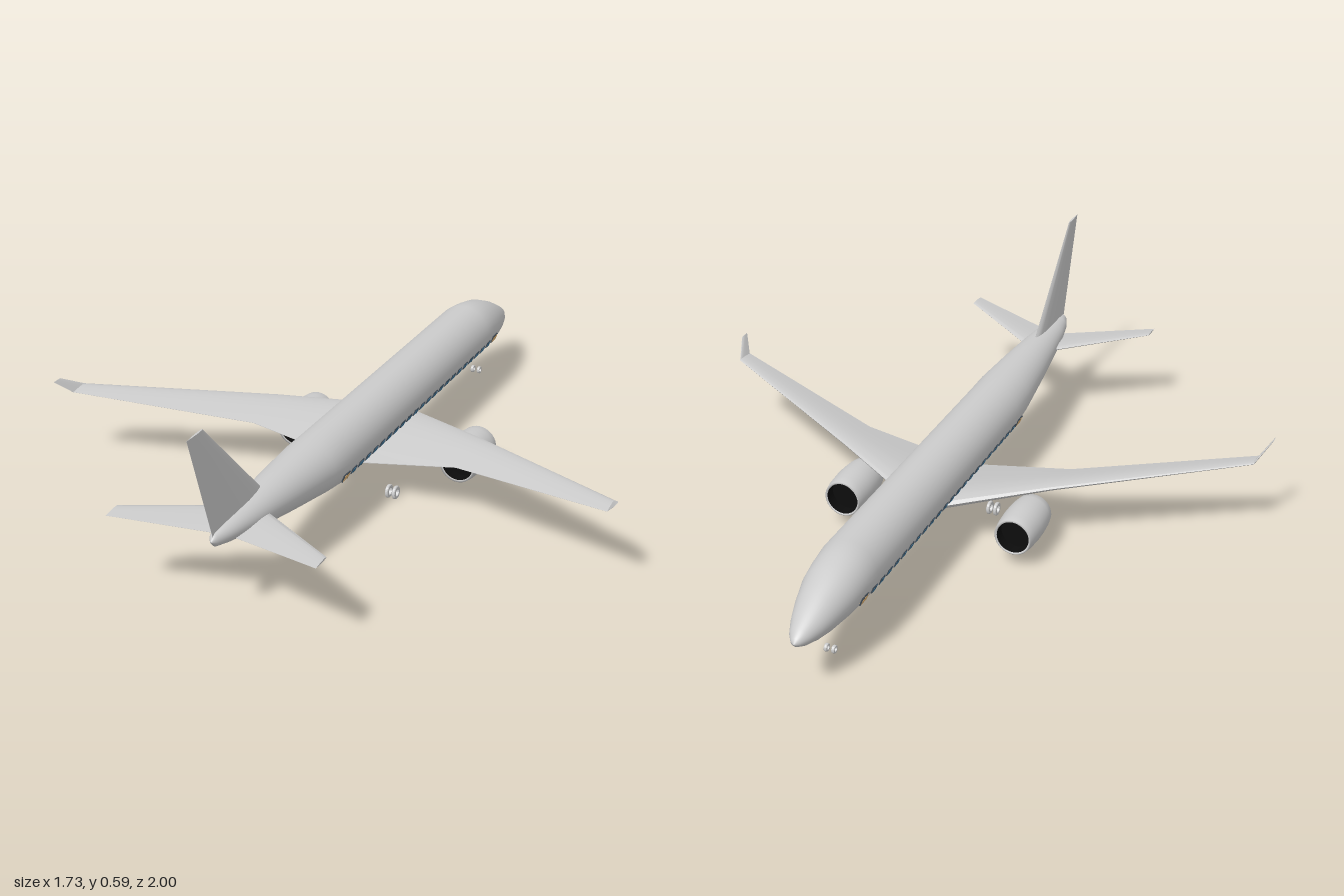
import * as THREE from 'three';
import { toCreasedNormals } from 'three/addons/utils/BufferGeometryUtils.js';

const material = (color = 0xcccccc, side = THREE.FrontSide) => new THREE.MeshStandardMaterial({ color, side });
const grey = material();
const glass = material(0x3f7396);
const doorPaint = material(0xe6b87a);
const frameDark = material(0x3c4650);
const black = material(0x0c0c0c, THREE.DoubleSide);

// Skin a list of closed rings of points, with end caps and outward faces
function loft(rings) {
  const n = rings[0].length;
  const points = rings.flat();
  const faces = [];
  for (let r = 0; r < rings.length - 1; r++) {
    for (let i = 0; i < n; i++) {
      const a = r * n + i, b = r * n + (i + 1) % n;
      faces.push([a, b, b + n], [a, b + n, a + n]);
    }
  }
  const last = (rings.length - 1) * n;
  for (let i = 1; i < n - 1; i++) faces.push([0, i + 1, i], [last, last + i, last + i + 1]);
  // A negative enclosed volume means the faces point inward
  const cross = new THREE.Vector3();
  const volume = faces.reduce((sum, [a, b, c]) =>
    sum + points[a].dot(cross.crossVectors(points[b], points[c])), 0);
  if (volume < 0) faces.forEach((f) => f.reverse());
  const geometry = new THREE.BufferGeometry().setFromPoints(points);
  geometry.setIndex(faces.flat());
  geometry.computeVertexNormals();
  return geometry;
}

// Chord fraction and half thickness around an aerofoil, from the nose over the top and back below
const FOIL = [[0, 0], [0.03, 0.45], [0.12, 0.8], [0.3, 1], [0.55, 0.8], [0.8, 0.38], [1, 0.04],
  [1, -0.04], [0.8, -0.38], [0.55, -0.8], [0.3, -1], [0.12, -0.8], [0.03, -0.45]];

// Section: leading edge, trailing edge, thickness, thickness direction
function foilRing([lead, trail, thick, dir], side) {
  const a = new THREE.Vector3(...lead), b = new THREE.Vector3(...trail);
  const up = new THREE.Vector3(...dir).normalize();
  return FOIL.map(([t, h]) => {
    const p = a.clone().lerp(b, t).addScaledVector(up, h * thick / 2);
    p.x *= side;
    return p;
  });
}

function surface(name, sections, side = 1) {
  const geometry = loft(sections.map((s) => foilRing(s, side)));
  const mesh = new THREE.Mesh(toCreasedNormals(geometry, 0.6), grey);
  mesh.name = name;
  return mesh;
}

// Fuselage stations: z, bottom y, top y, half width
const STATIONS = [
  [-1, 0.169, 0.173, 0.002], [-0.992, 0.16, 0.185, 0.014], [-0.97, 0.15, 0.202, 0.029],
  [-0.93, 0.14, 0.225, 0.046], [-0.88, 0.133, 0.252, 0.061], [-0.81, 0.13, 0.282, 0.077],
  [-0.75, 0.129, 0.296, 0.083], [-0.69, 0.128, 0.305, 0.087], [0.29, 0.129, 0.305, 0.087],
  [0.38, 0.144, 0.305, 0.086], [0.54, 0.171, 0.303, 0.071], [0.66, 0.193, 0.299, 0.058],
  [0.78, 0.217, 0.291, 0.043], [0.85, 0.231, 0.284, 0.029], [0.89, 0.24, 0.277, 0.014],
  [0.905, 0.256, 0.262, 0.003]];

function fuselage() {
  const rings = STATIONS.map(([z, low, high, w]) => Array.from({ length: 40 }, (_, i) => {
    const a = i / 40 * Math.PI * 2;
    return new THREE.Vector3(w * Math.cos(a), (low + high) / 2 + (high - low) / 2 * Math.sin(a), z);
  }));
  const mesh = new THREE.Mesh(loft(rings), grey);
  mesh.name = 'fuselage';
  return mesh;
}

// Framed panel lying on the sloping side wall
function panel(name, x, z, side, width, height, paint) {
  const group = new THREE.Group();
  const frame = new THREE.Mesh(new THREE.BoxGeometry(0.004, height, width), frameDark);
  const pane = new THREE.Mesh(new THREE.BoxGeometry(0.005, height - 0.004, width - 0.004), paint);
  frame.name = 'frame';
  pane.name = 'pane';
  group.add(frame, pane);
  group.position.set(side * x, 0.183, z);
  group.rotation.z = -side * 0.38;
  group.name = name;
  return group;
}

function engine(side) {
  const group = new THREE.Group();
  // Outer barrel with rounded lips
  const shell = [[0.048, -0.078], [0.051, -0.083], [0.055, -0.08], [0.059, -0.055], [0.0615, -0.01],
    [0.061, 0.025], [0.058, 0.06], [0.054, 0.083], [0.048, 0.081]];
  const barrel = new THREE.Mesh(
    new THREE.LatheGeometry(shell.map(([r, h]) => new THREE.Vector2(r, h)), 36), grey);
  barrel.name = 'nacelle';
  // Dark duct, closed in the middle
  const duct = new THREE.Mesh(new THREE.CylinderGeometry(0.048, 0.048, 0.16, 36, 1, true), black);
  duct.name = 'duct';
  const fan = new THREE.Mesh(new THREE.CylinderGeometry(0.048, 0.048, 0.09, 36), black);
  fan.name = 'fan';
  group.add(barrel, duct, fan);
  group.rotation.x = Math.PI / 2;
  group.position.set(side * 0.267, 0.1, -0.118);
  group.name = 'engine';
  return group;
}

// Open ring wheel turning about x
function wheel(name, x, y, z, radius, width) {
  const r = radius * 0.55, w = width / 2;
  const profile = [[r, -w], [radius * 0.9, -w], [radius, -w * 0.6], [radius, w * 0.6],
    [radius * 0.9, w], [r, w], [r, -w]].map((p) => new THREE.Vector2(...p));
  const geometry = toCreasedNormals(new THREE.LatheGeometry(profile, 24), 0.5);
  const mesh = new THREE.Mesh(geometry, grey);
  mesh.rotation.z = Math.PI / 2;
  mesh.position.set(x, y, z);
  mesh.name = name;
  return mesh;
}

const UP = [0, 1, 0];
const WING = [
  [[0, 0.147, -0.234], [0, 0.118, 0.11], 0.055, UP],
  [[0.325, 0.194, -0.055], [0.325, 0.174, 0.11], 0.024, UP],
  [[0.833, 0.246, 0.224], [0.833, 0.243, 0.286], 0.007, [-0.3, 1, 0]],
  [[0.866, 0.288, 0.3], [0.866, 0.288, 0.333], 0.003, [-0.8, 0.6, 0]]];
const TAILPLANE = [
  [[0, 0.243, 0.655], [0, 0.237, 0.82], 0.018, UP],
  [[0.305, 0.272, 0.862], [0.305, 0.27, 0.92], 0.005, UP]];
const FIN = [
  [[0, 0.27, 0.622], [0, 0.27, 0.897], 0.02, [1, 0, 0]],
  [[0, 0.587, 0.925], [0, 0.587, 1], 0.006, [1, 0, 0]]];

export function createModel() {
  const model = new THREE.Group();
  model.name = 'airliner';
  model.add(fuselage(), surface('tailFin', FIN));
  for (const side of [1, -1]) {
    const label = side > 0 ? 'left' : 'right';
    model.add(surface(label + 'Wing', WING, side), surface(label + 'Tailplane', TAILPLANE, side), engine(side));
    // Window row with a door at each end
    for (let i = 0; i < 22; i++) {
      model.add(panel('window', 0.0805, 0.26 - i * 0.0458, side, 0.026, 0.019, glass));
    }
    model.add(panel('rearDoor', 0.0805, 0.308, side, 0.036, 0.024, doorPaint));
    model.add(panel('frontDoor', 0.0785, -0.758, side, 0.036, 0.024, doorPaint));
    // Landing wheels
    for (const x of [0.093, 0.115]) model.add(wheel('mainWheel', side * x, 0.02, 0.056, 0.02, 0.01));
    model.add(wheel('noseWheel', side * 0.011, 0.037, -0.805, 0.0115, 0.009));
  }
  return model;
}
